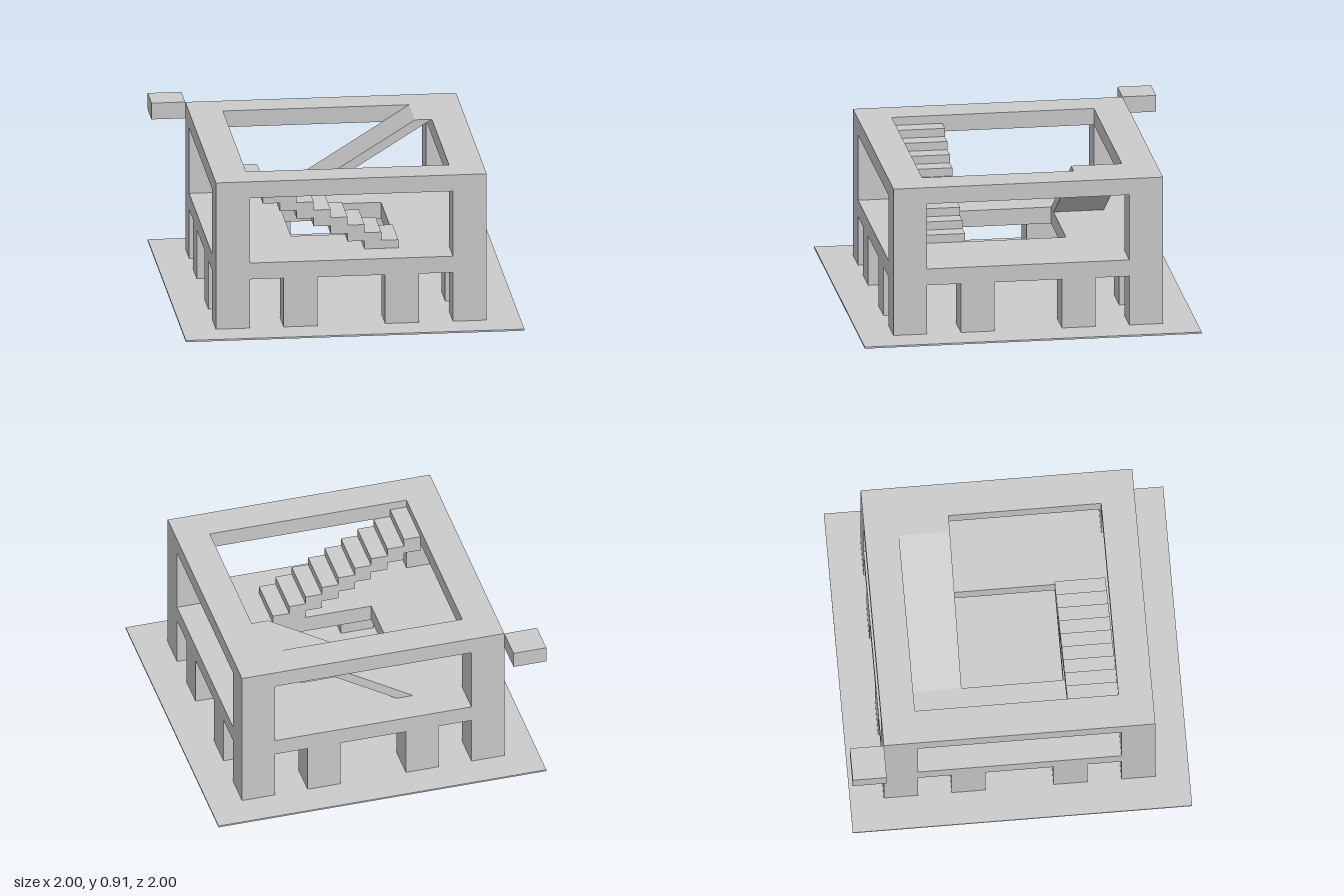
import * as THREE from 'three';

const material = new THREE.MeshStandardMaterial({ color: 0xcccccc });

export function createModel() {
  const model = new THREE.Group();

  const add = (name, geometry) => {
    const mesh = new THREE.Mesh(geometry, material);
    mesh.name = name;
    model.add(mesh);
    return mesh;
  };

  // Box given by its centre in plan, its bottom and top, and its plan size
  const block = (name, x, z, y0, y1, size) => {
    add(name, new THREE.BoxGeometry(size, y1 - y0, size)).position.set(x, (y0 + y1) / 2, z);
  };

  const square = (half, Type) => new Type([
    new THREE.Vector2(-half, -half), new THREE.Vector2(half, -half),
    new THREE.Vector2(half, half), new THREE.Vector2(-half, half),
  ]);

  // Horizontal square slab, 0.1 thick, with a square opening in the middle
  const slab = (name, half, openingHalf, y) => {
    const shape = square(half, THREE.Shape);
    shape.holes.push(square(openingHalf, THREE.Path));
    const geometry = new THREE.ExtrudeGeometry(shape, { depth: 0.1, bevelEnabled: false });
    add(name, geometry.rotateX(-Math.PI / 2)).position.y = y;
  };

  // Side profile in x and y, 0.3 wide along z
  const profile = (name, points, z) => {
    const shape = new THREE.Shape(points.map(([x, y]) => new THREE.Vector2(x, y)));
    add(name, new THREE.ExtrudeGeometry(shape, { depth: 0.3, bevelEnabled: false })).position.z = z;
  };

  block('groundPlate', 0, 0, 0, 0.01, 2);
  slab('floorSlab', 0.8, 0.3, 0.31);
  slab('roofFrame', 0.8, 0.6, 0.81);

  // Corner columns on both storeys, and pairs of short columns along each side
  for (const a of [-1, 1]) {
    for (const b of [-1, 1]) {
      block('lowerCornerColumn', a * 0.7, b * 0.7, 0.01, 0.31, 0.2);
      block('upperCornerColumn', a * 0.7, b * 0.7, 0.41, 0.81, 0.2);
      block('shortColumn', a * 0.3, b * 0.7, 0.01, 0.31, 0.2);
      block('shortColumn', a * 0.7, b * 0.3, 0.01, 0.31, 0.2);
    }
  }

  // Small block touching the back right corner of the roof
  add('cornerBlock', new THREE.BoxGeometry(0.2, 0.1, 0.2)).position.set(-0.9, 0.86, -0.9);

  // Stepped stair: treads rising toward -x, underside stepped in parallel
  const treads = [];
  const underside = [];
  for (let i = 0; i < 9; i++) {
    const x = 0.3 - 0.1 * i;
    const top = 0.46 + 0.05 * i;
    const bottom = Math.max(0.41, top - 0.1);
    treads.push([x, top], [x - 0.1, top]);
    if (i > 1) underside.push([x, bottom], [x - 0.1, bottom]);
  }
  profile('stairs', [[0.3, 0.41], ...treads, ...underside.reverse(), [0.1, 0.41]], 0.3);

  // Sloping ramp from the floor up to the roof frame
  profile('ramp', [[-0.3, 0.41], [-0.2, 0.41], [0.6, 0.91], [0.5, 0.91]], -0.6);

  return model;
}
